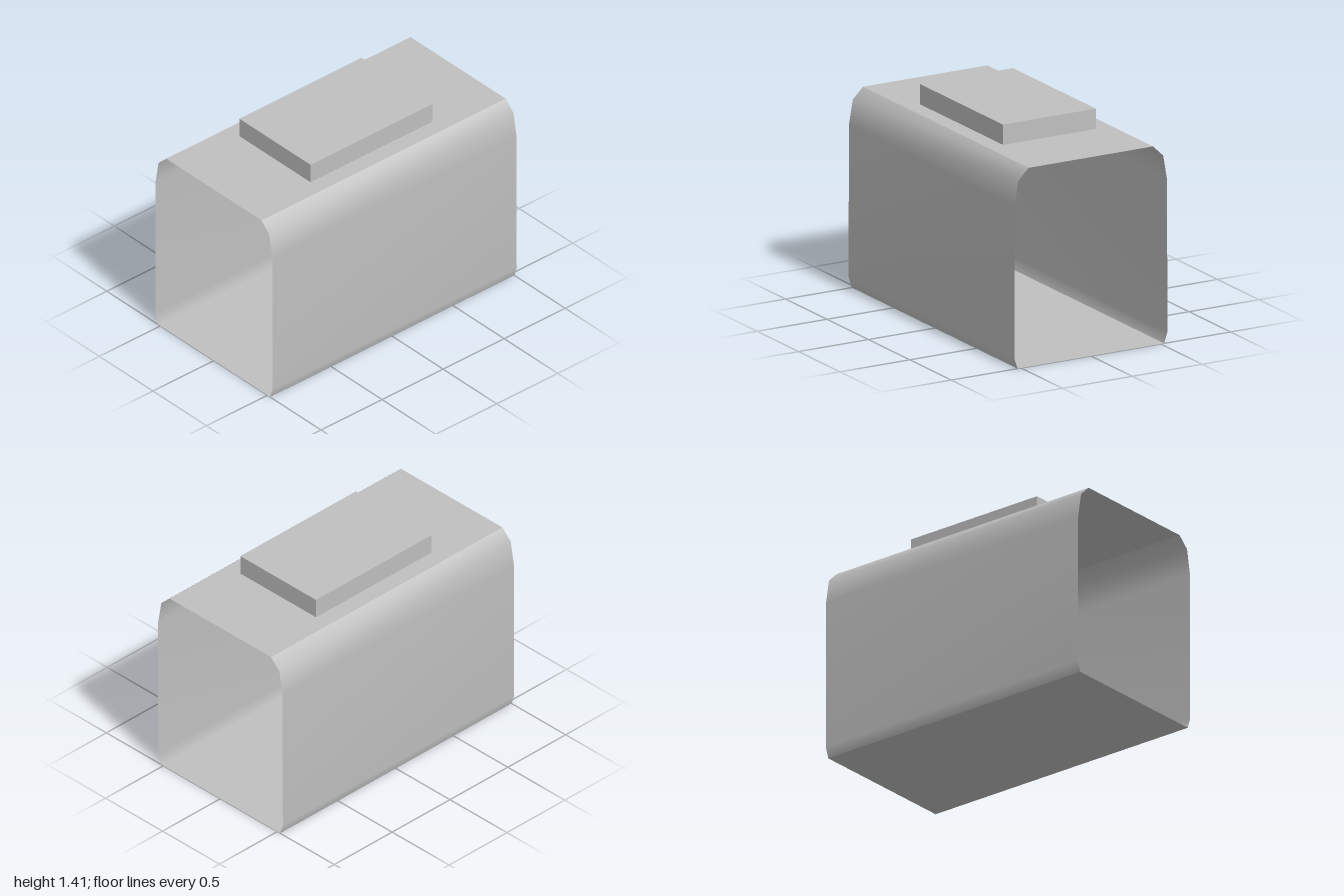
import * as THREE from 'three';

export function createModel() {
  const group = new THREE.Group();
  const grey = new THREE.MeshStandardMaterial({ color: 0xbfbfbf, side: THREE.DoubleSide });
  grey.name = 'plain grey';

  const add = (name, geometry) => {
    const mesh = new THREE.Mesh(geometry, grey);
    mesh.name = name;
    group.add(mesh);
    return mesh;
  };

  // Outline of one side wall (x, y), from the roof edge down to the floor edge
  const profile = [[0.445, 1.28], [0.518, 1.21], [0.546, 1.05], [0.548, 0.07], [0.525, 0]];
  const length = 2;

  // Side walls: a sheet bent along the outline, smooth across its bends
  const wall = new THREE.PlaneGeometry(length, 1, 1, profile.length - 1);
  const pos = wall.attributes.position;
  for (let i = 0; i < pos.count; i++) {
    const [x, y] = profile[Math.floor(i / 2)];
    pos.setXYZ(i, x, y, -pos.getX(i));
  }
  wall.computeVertexNormals();
  add('leftWall', wall);
  add('rightWall', wall.clone().rotateY(Math.PI));

  // Flat roof and floor; both ends of the shell stay open
  const [roofX, roofY] = profile[0];
  const [floorX] = profile[profile.length - 1];
  add('roof', new THREE.PlaneGeometry(roofX * 2, length).rotateX(-Math.PI / 2)).position.y = roofY;
  add('floor', new THREE.PlaneGeometry(floorX * 2, length).rotateX(Math.PI / 2));

  // Raised block on the roof
  add('roofBlock', new THREE.BoxGeometry(0.665, 0.13, 1)).position.y = roofY + 0.065;

  return group;
}
